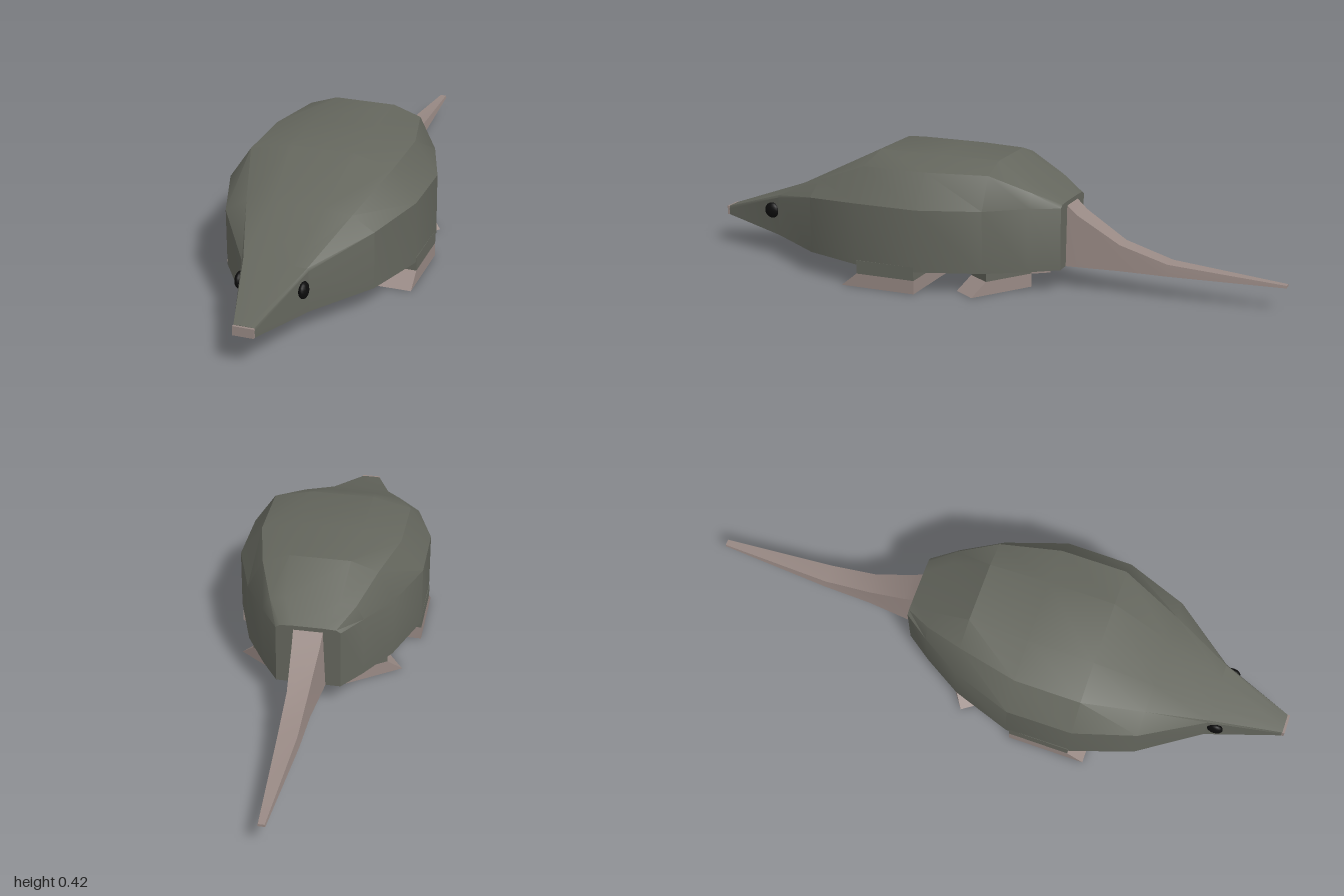
import * as THREE from 'three';
import { toCreasedNormals } from 'three/addons/utils/BufferGeometryUtils.js';

const skin = (name, color) => new THREE.MeshStandardMaterial({ name, color });

// Skin a closed surface through rings ordered from front (+z) to back
function loft(rings, crease) {
  const n = rings[0].length, index = [];
  for (let i = 0; i < rings.length - 1; i++) {
    for (let j = 0; j < n; j++) {
      const a = i * n + j, b = i * n + (j + 1) % n;
      index.push(a, a + n, b, a + n, b + n, b);
    }
  }
  const last = (rings.length - 1) * n;
  for (let k = 1; k < n - 1; k++) {
    index.push(0, k, k + 1, last, last + k + 1, last + k);
  }
  const g = new THREE.BufferGeometry();
  g.setAttribute('position', new THREE.Float32BufferAttribute(rings.flat(2), 3));
  g.setIndex(index);
  return toCreasedNormals(g, crease);
}

// Mirror the +x half of a ring
function ring(z, half) {
  const right = half.map(([x, y]) => [x, y, z]);
  const left = half.map(([x, y]) => [-x, y, z]).reverse();
  return [...right, ...left];
}

export function createModel() {
  const model = new THREE.Group();
  const fur = skin('grey fur', 0x64665d);
  const pink = skin('dusky pink skin', 0x988984);
  const black = skin('black eye', 0x0c0c0c);

  const add = (parent, name, geometry, material) => {
    const mesh = new THREE.Mesh(geometry, material);
    mesh.name = name;
    parent.add(mesh);
    return mesh;
  };

  // Body and snout: z, belly y, wall x/y, shoulder x/y, crown x/y
  const bodySections = [
    [0.992, 0.105, 0.033, 0.125, 0.032, 0.135, 0.016, 0.136],
    [0.75, 0.075, 0.105, 0.208, 0.1, 0.216, 0.05, 0.218],
    [0.55, 0.075, 0.24, 0.262, 0.17, 0.307, 0.08, 0.317],
    [0.35, 0.075, 0.308, 0.28, 0.235, 0.387, 0.105, 0.417],
    [0.13, 0.075, 0.31, 0.28, 0.235, 0.387, 0.105, 0.417],
    [-0.07, 0.075, 0.242, 0.28, 0.19, 0.385, 0.1, 0.416],
    [-0.2, 0.075, 0.165, 0.285, 0.14, 0.33, 0.09, 0.34],
    [-0.285, 0.075, 0.105, 0.28, 0.09, 0.289, 0.05, 0.291],
  ];
  const bodyRings = bodySections.map(([z, b, wx, wy, sx, sy, cx, cy]) =>
    ring(z, [[wx, b], [wx, wy], [sx, sy], [cx, cy]]));
  add(model, 'body', loft(bodyRings, 0.5), fur);

  // Nose plate on the tip of the snout
  add(model, 'nose', new THREE.BoxGeometry(0.066, 0.03, 0.009), pink).position.set(0, 0.12, 0.9955);

  // Tail: z, bottom y, half width, top y
  const tailRings = [
    [-0.275, 0.075, 0.057, 0.285],
    [-0.32, 0.075, 0.053, 0.245],
    [-0.46, 0.075, 0.04, 0.16],
    [-0.62, 0.075, 0.036, 0.113],
    [-1, 0.077, 0.012, 0.085],
  ].map(([z, b, w, t]) => ring(z, [[w, b], [w * 0.85, t]]));
  add(model, 'tail', loft(tailRings, 0.5), pink);

  // Feet: wedge-toed pads, each under a short leg
  function addFoot(name, side, x, z, yaw, width, length) {
    const foot = new THREE.Group();
    foot.name = name;
    const profile = new THREE.Shape([
      new THREE.Vector2(-length / 2, 0),
      new THREE.Vector2(length / 2, 0),
      new THREE.Vector2(length / 2 - 0.055, 0.045),
      new THREE.Vector2(-length / 2, 0.045),
    ]);
    const pad = new THREE.ExtrudeGeometry(profile, { depth: width, bevelEnabled: false });
    pad.translate(0, 0, -width / 2).rotateY(-Math.PI / 2);
    add(foot, 'pad', pad, pink);
    const leg = new THREE.BoxGeometry(width, 0.045, length - 0.055);
    add(foot, 'leg', leg, fur).position.set(0, 0.0675, -0.0275);
    foot.position.set(side * x, 0, z);
    foot.rotation.y = side * yaw;
    model.add(foot);
  }

  for (const side of [-1, 1]) {
    const label = side > 0 ? 'left' : 'right';
    addFoot(label + 'FrontFoot', side, 0.185, 0.27, 0, 0.25, 0.26);
    addFoot(label + 'BackFoot', side, 0.152, -0.075, 0.96, 0.09, 0.23);

    // Eyes: flattened balls on the sides of the snout
    const eye = add(model, label + 'Eye', new THREE.SphereGeometry(0.027, 14, 10), black);
    eye.scale.x = 0.55;
    eye.position.set(side * 0.1, 0.16, 0.778);
  }
  return model;
}
